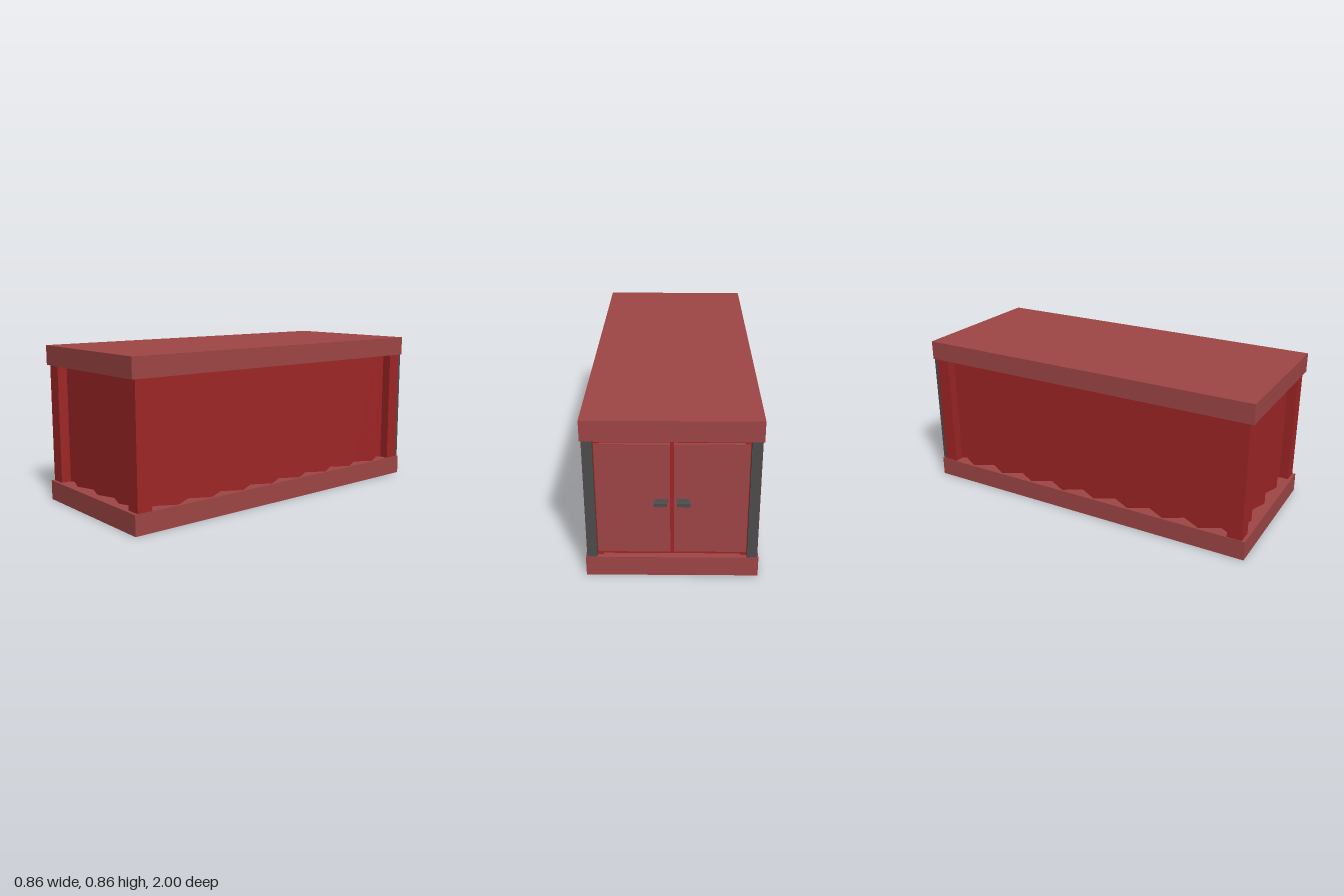
import * as THREE from 'three';

const mat = (color) => new THREE.MeshStandardMaterial({ color, side: THREE.DoubleSide });

export function createModel() {
  const group = new THREE.Group();
  const frameRed = mat(0xa04646);
  const wallRed = mat(0xa02626);
  const steel = mat(0x4d4d4d);

  const BOTTOM = 0.108, TOP = 0.755; // wall height range
  const MID = (BOTTOM + TOP) / 2, HEIGHT = TOP - BOTTOM;

  // Box given by its min and max on each axis
  function box(name, material, x0, x1, y0, y1, z0, z1) {
    const geo = new THREE.BoxGeometry(x1 - x0, y1 - y0, z1 - z0);
    const mesh = new THREE.Mesh(geo, material);
    mesh.position.set((x0 + x1) / 2, (y0 + y1) / 2, (z0 + z1) / 2);
    mesh.name = name;
    group.add(mesh);
  }

  // Zigzag sheet: even columns are crests, odd ones are pushed in by depth.
  // The plane's normals are kept so the sheet shades evenly.
  function corrugated(name, width, segments, depth) {
    const geo = new THREE.PlaneGeometry(width, HEIGHT, segments, 1);
    const pos = geo.attributes.position;
    for (let i = 0; i < pos.count; i++) {
      if ((i % (segments + 1)) % 2) pos.setZ(i, -depth);
    }
    const mesh = new THREE.Mesh(geo, wallRed);
    mesh.name = name;
    group.add(mesh);
    return mesh;
  }

  // Floor and roof slabs
  box('floorSlab', frameRed, -0.428, 0.428, 0, BOTTOM, -0.975, 1);
  box('roofSlab', frameRed, -0.428, 0.428, TOP, 0.862, -0.975, 1);

  // Front wall
  corrugated('frontWall', 0.84, 8, 0.037).position.set(0, MID, 0.956);

  // Back wall behind the doors
  box('backWall', wallRed, -0.36, 0.36, BOTTOM, TOP, -0.94, -0.92);

  for (const s of [-1, 1]) {
    const side = s > 0 ? 'left' : 'right';
    const mirrored = (name, material, xa, xb, ...rest) =>
      box(side + name, material, Math.min(s * xa, s * xb), Math.max(s * xa, s * xb), ...rest);

    // Long side wall
    const wall = corrugated(side + 'SideWall', 1.9, 18, 0.06);
    wall.position.set(s * 0.417, MID, 0);
    wall.rotation.y = s * Math.PI / 2;

    // Corner posts and steel door jamb
    mirrored('FrontPost', wallRed, 0.34, 0.424, BOTTOM, TOP, 0.9, 0.982);
    mirrored('BackPost', wallRed, 0.34, 0.424, BOTTOM, TOP, -0.952, -0.87);
    mirrored('DoorJamb', steel, 0.37, 0.42, BOTTOM, TOP, -0.973, -0.952);

    // Door leaf and handle
    mirrored('Door', frameRed, 0.009, 0.366, 0.13, 0.733, -0.957, -0.935);
    mirrored('DoorHandle', steel, 0.023, 0.087, 0.418, 0.436, -1, -0.957);
  }

  return group;
}
